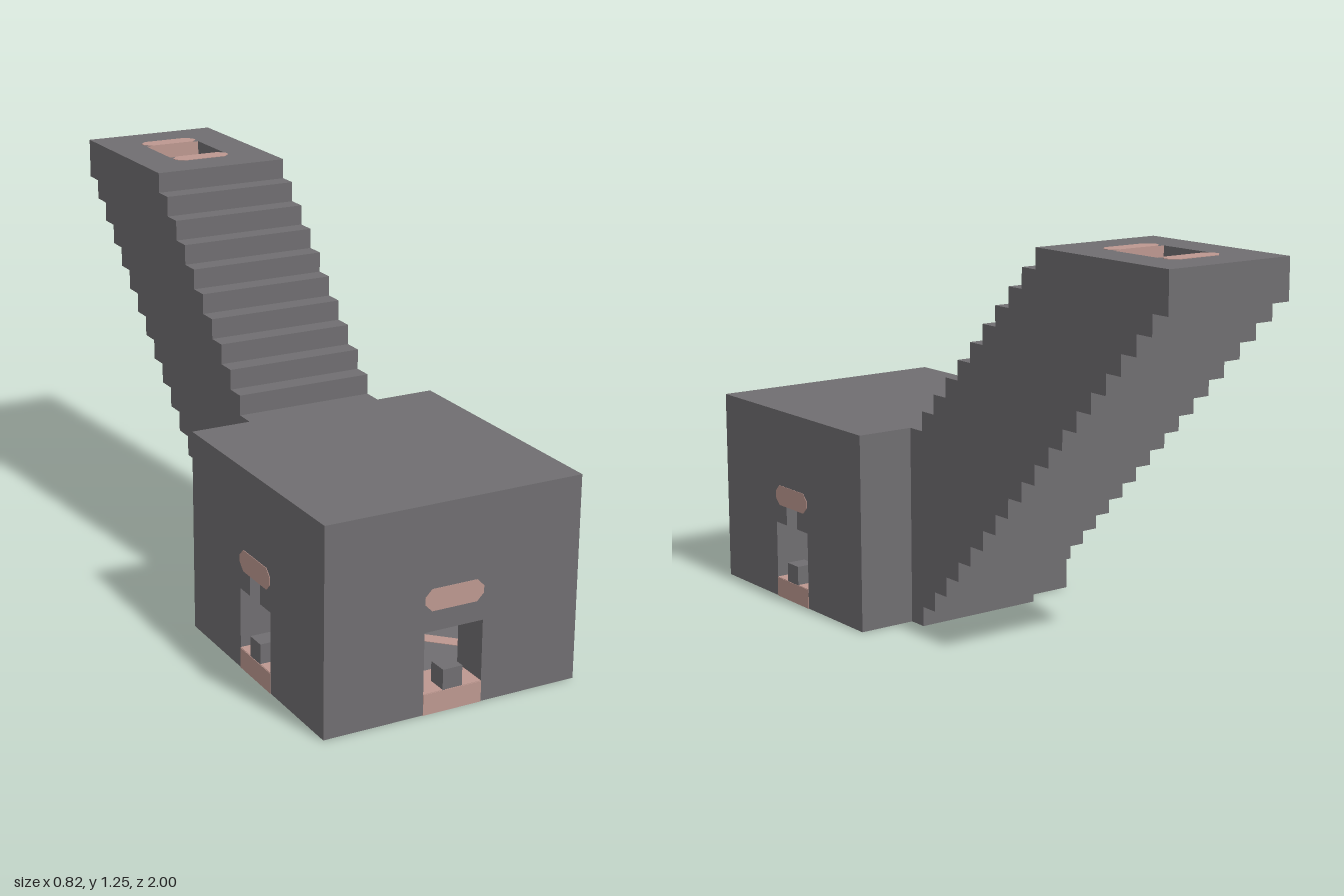
import * as THREE from 'three';

const B = 1 / 16; // one building block

export function createModel() {
  const model = new THREE.Group();
  const stone = new THREE.MeshStandardMaterial({ color: 0x706e71 });
  stone.name = 'grey stone';
  const pink = new THREE.MeshStandardMaterial({ color: 0xbd9890 });
  pink.name = 'dusty pink';

  const add = (parent, name, geo, mat) => {
    const mesh = new THREE.Mesh(geo, mat);
    mesh.name = name;
    parent.add(mesh);
    return mesh;
  };
  // Box given by its limits, in blocks
  const box = (parent, name, x0, x1, y0, y1, z0, z1, mat = stone) => {
    const mesh = add(parent, name, new THREE.BoxGeometry((x1 - x0) * B, (y1 - y0) * B, (z1 - z0) * B), mat);
    mesh.position.set((x0 + x1) / 2 * B, (y0 + y1) / 2 * B, (z0 + z1) / 2 * B);
    return mesh;
  };
  const extrude = (points, depth) => new THREE.ExtrudeGeometry(
    new THREE.Shape(points.map(([x, y]) => new THREE.Vector2(x * B, y * B))),
    { depth: depth * B, bevelEnabled: false });
  // Thin painted plate, w by h blocks, corners cut by top and bottom amounts
  const plate = (parent, name, w, h, top, bottom) => {
    const a = w / 2, b = h / 2;
    const points = [[-a + bottom, -b], [a - bottom, -b]];
    if (bottom) points.push([a, -b + bottom]);
    points.push([a, b - top]);
    if (top) points.push([a - top, b], [-a + top, b]);
    points.push([-a, b - top]);
    if (bottom) points.push([-a, -b + bottom]);
    const geo = extrude(points, 0.05);
    geo.translate(0, 0, -0.025 * B);
    return add(parent, name, geo, pink);
  };

  // Room floor, roof and back corners
  box(model, 'roomFloor', -6.5, 6.5, 0, 1, 5, 16);
  box(model, 'roomRoof', -4.5, 4.5, 8, 10, 5, 14);
  for (const s of [-1, 1]) {
    box(model, 'backWall', s > 0 ? 3.5 : -6.5, s > 0 ? 6.5 : -3.5, 0, 10, 3, 5);
  }

  // A wall with its doorway, built facing +z with its outer face at z = 0
  const doorWall = (name, width, notched, x, z, turn) => {
    const g = new THREE.Group();
    g.name = name;
    const w = width / 2;
    const outline = (notch) => [
      [-w, 1], [-1.5, 1], [-1.5, 4],
      ...(notch ? [[-0.5, 4], [-0.5, 5], [0.5, 5], [0.5, 4]] : []),
      [1.5, 4], [1.5, 1], [w, 1], [w, 10], [-w, 10],
    ];
    add(g, 'outerWall', extrude(outline(notched), 1), stone).position.z = -B;
    add(g, 'innerWall', extrude(outline(false), 1), stone).position.z = -2 * B;
    box(g, 'doorBlock', -0.5, 0.5, 1, 2, -1, 0);
    plate(g, 'lintelPaint', 3, 1.05, 0.35, 0.35).position.y = 5.5 * B;
    plate(g, 'sillPaint', 3, 1, 0, 0).position.y = 0.5 * B;
    for (const y of [0, 1]) {
      const p = plate(g, 'thresholdPaint', 3, 2, 0.5, 0);
      p.rotation.x = -Math.PI / 2;
      p.position.set(0, y * B, -B);
    }
    g.position.set(x * B, 0, z * B);
    g.rotation.y = turn;
    model.add(g);
  };
  doorWall('frontWall', 13, false, 0, 16, 0);
  doorWall('leftWall', 9, true, 6.5, 9.5, Math.PI / 2);
  doorWall('rightWall', 9, true, -6.5, 9.5, -Math.PI / 2);

  // Diagonal floor stripes, seen above and below the floor slab
  for (const y of [0, 1]) {
    for (const c of [-5, -3, -1, 1, 3, 5]) {
      const length = (7 - Math.abs(c)) * Math.SQRT2;
      const stripe = plate(model, 'floorStripe', 0.72, length - 0.2, 0.2, 0.2);
      stripe.rotation.set(-Math.PI / 2, 0, Math.PI / 4, 'XYZ');
      stripe.position.set(c / 2 * B, y * B, (9.5 + c / 2) * B);
    }
  }

  // Stair tunnel: stepped side walls
  const lower = (k) => Math.max(0, k + 1);
  const upper = (k) => Math.min(20, Math.max(10, 11 + k));
  const under = [], over = [];
  for (let k = -3; k <= 17; k++) {
    under.push([k - 2, lower(k)], [k - 1, lower(k)]);
    over.push([k - 2, upper(k)], [k - 1, upper(k)]);
  }
  // drop repeated points along the flat stretches
  const profile = [...under, ...over.reverse()].filter((p, i, all) => {
    const a = all[i - 1], b = all[i + 1];
    return !(a && b && a[1] === p[1] && b[1] === p[1]);
  });
  for (const x of [-3.5, 1.5]) {
    const geo = extrude(profile, 2);
    geo.rotateY(Math.PI / 2); // profile x runs to -z
    add(model, 'stairSideWall', geo, stone).position.x = x * B;
  }

  // Stair tunnel: steps with painted treads and risers, and the stepped roof
  for (let k = -3; k <= 17; k++) {
    const z1 = 2 - k, z0 = z1 - 1;
    const open = k <= 14;
    box(model, 'step', -1.5, 1.5, lower(k), open ? k + 5 : 20, z0, z1,
      [stone, stone, open ? pink : stone, stone, pink, stone]);
    if (k <= 11) {
      box(model, 'stairRoof', -1.5, 1.5, 8 + k, upper(k), z0, z1,
        [stone, stone, stone, stone, stone, k === 11 ? pink : stone]);
    }
  }

  // Paint at both ends of the top hatch and under the first step
  for (const [y, z] of [[20, -9.5], [20, -13.5], [0, 4.5]]) {
    const p = plate(model, 'edgePaint', 3, 1, 0.35, 0.35);
    p.rotation.x = -Math.PI / 2;
    p.position.set(0, y * B, z * B);
  }
  return model;
}
